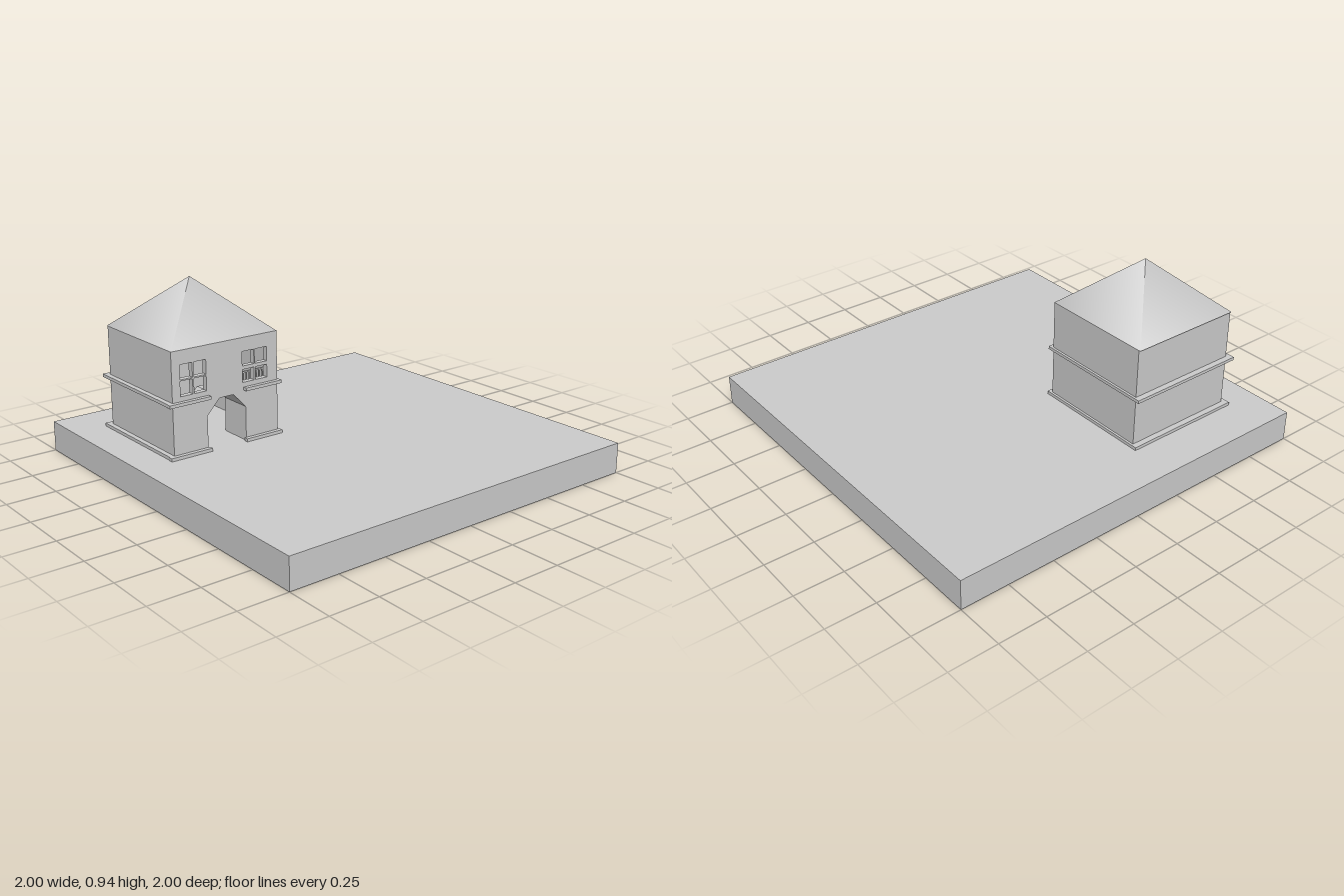
import * as THREE from 'three';

const mat = new THREE.MeshStandardMaterial({ color: 0xcccccc, side: THREE.DoubleSide });
const GROUND = 0.155, EAVE = 0.68;
const X0 = -0.8, X1 = -0.2, Z0 = -0.745, Z1 = -0.16;

function add(parent, name, geometry) {
  const mesh = new THREE.Mesh(geometry, mat);
  mesh.name = name;
  parent.add(mesh);
  return mesh;
}

// Box given by its two opposite corners
function box(parent, name, x0, x1, y0, y1, z0, z1) {
  const mesh = add(parent, name, new THREE.BoxGeometry(x1 - x0, y1 - y0, z1 - z0));
  mesh.position.set((x0 + x1) / 2, (y0 + y1) / 2, (z0 + z1) / 2);
}

function rectPath(x0, x1, y0, y1) {
  return new THREE.Path([[x0, y0], [x0, y1], [x1, y1], [x1, y0]].map(p => new THREE.Vector2(...p)));
}

const arch = [[-0.61, GROUND], [-0.61, 0.33], [-0.54, 0.405], [-0.46, 0.405], [-0.39, 0.33], [-0.39, GROUND]];

// Front wall with an arched doorway and two four-pane windows
function frontWall(house) {
  const outline = [[X0, GROUND], ...arch, [X1, GROUND], [X1, EAVE], [X0, EAVE]];
  const shape = new THREE.Shape(outline.map(p => new THREE.Vector2(...p)));
  for (const [x, split] of [[-0.755, 0.53], [-0.405, 0.52]]) {
    for (const dx of [0, 0.076]) {
      shape.holes.push(rectPath(x + dx, x + dx + 0.068, 0.455, split));
      shape.holes.push(rectPath(x + dx, x + dx + 0.068, 0.537, 0.61));
    }
  }
  const wall = add(house, 'frontWall', new THREE.ExtrudeGeometry(shape, { depth: 0.03, bevelEnabled: false }));
  wall.position.z = Z1 - 0.03;
}

// Side walls of the passage behind the doorway
function passage(house) {
  const outer = [[-0.63, GROUND], [-0.63, 0.34], [-0.55, 0.42], [-0.45, 0.42], [-0.37, 0.34], [-0.37, GROUND]];
  const shape = new THREE.Shape([...outer, ...[...arch].reverse()].map(p => new THREE.Vector2(...p)));
  const mesh = add(house, 'doorPassage', new THREE.ExtrudeGeometry(shape, { depth: 0.15, bevelEnabled: false }));
  mesh.position.z = Z1 - 0.18;
}

// Ledge round the house, left open above and in front of the door
function ledge(house, name, y) {
  const g = new THREE.Group();
  g.name = name;
  const top = y + 0.016;
  box(g, 'backLedge', -0.825, -0.188, y, top, -0.775, Z0);
  box(g, 'rightLedge', -0.825, X0, y, top, Z0, Z1);
  box(g, 'leftLedge', X1, -0.188, y, top, Z0, Z1);
  box(g, 'frontLedgeRight', -0.828, -0.6, y, top, Z1, -0.138);
  box(g, 'frontLedgeLeft', -0.4, -0.188, y, top, Z1, -0.138);
  house.add(g);
}

export function createModel() {
  const model = new THREE.Group();
  model.name = 'houseOnPlot';
  box(model, 'groundSlab', -1, 1, 0, GROUND, -1, 1);

  const house = new THREE.Group();
  house.name = 'house';
  model.add(house);
  frontWall(house);
  passage(house);
  box(house, 'backWall', X0, X1, GROUND, EAVE, Z0, Z0 + 0.02);
  box(house, 'rightWall', X0, X0 + 0.02, GROUND, EAVE, Z0 + 0.02, Z1 - 0.03);
  box(house, 'leftWall', X1 - 0.02, X1, GROUND, EAVE, Z0 + 0.02, Z1 - 0.03);
  ledge(house, 'lowerLedge', GROUND);
  ledge(house, 'upperLedge', 0.415);

  // Small railing inside the left window
  box(house, 'railingTop', -0.41, -0.255, 0.49, 0.497, Z1 - 0.04, Z1 - 0.03);
  for (let i = 0; i < 8; i++) {
    const x = -0.4 + i * 0.019;
    box(house, 'railingBar', x, x + 0.005, 0.45, 0.49, Z1 - 0.04, Z1 - 0.03);
  }

  // Pyramid roof
  const roof = add(house, 'roof', new THREE.ConeGeometry(0.298 * Math.SQRT2, 0.26, 4).rotateY(Math.PI / 4));
  roof.position.set(-0.5, EAVE + 0.13, -0.456);
  return model;
}
